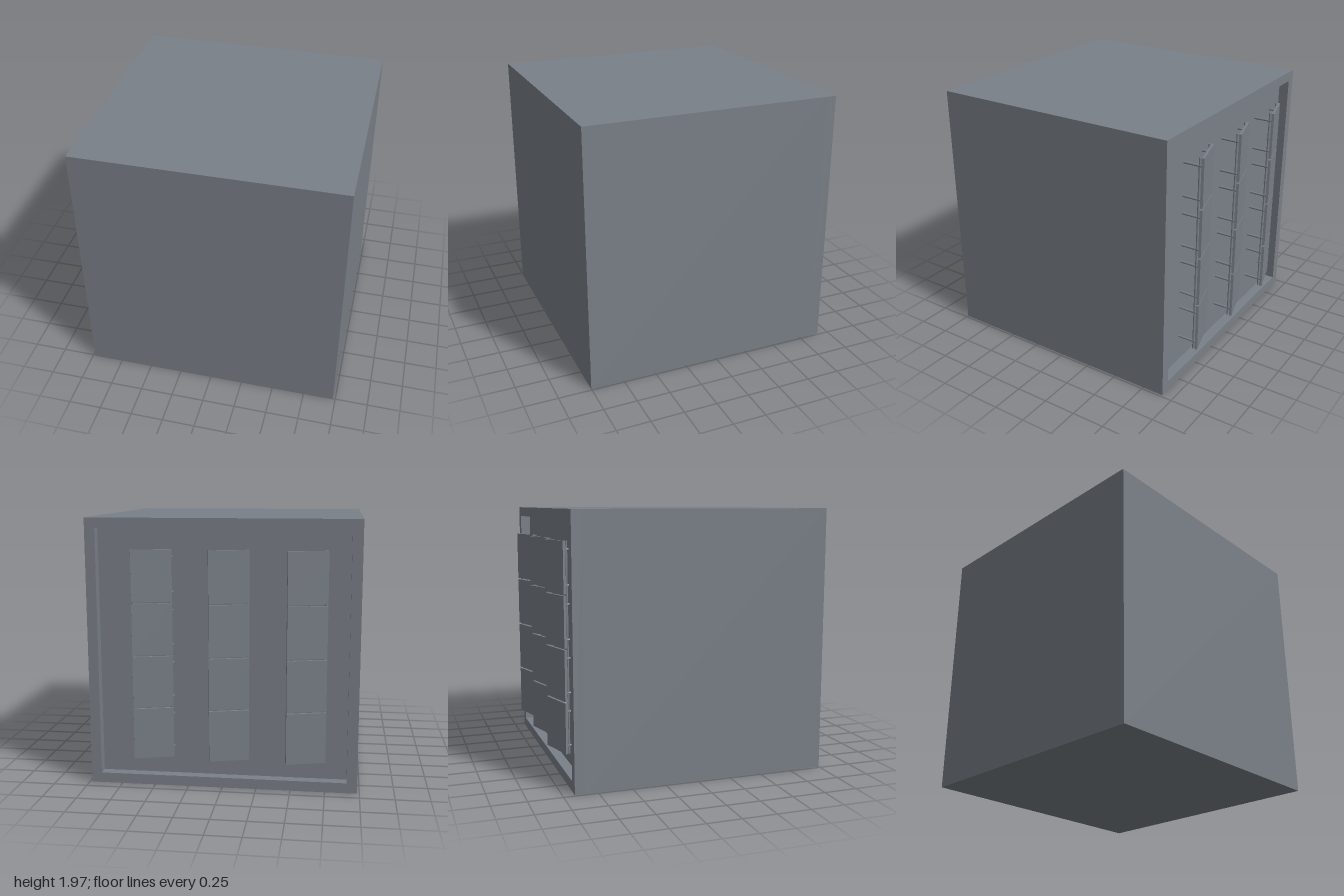
import * as THREE from 'three';

const HALF = 0.982, HEIGHT = 1.965, FRONT = 1, BACK = -0.917, FLOOR = -0.84, RIM = 0.075;
const material = new THREE.MeshStandardMaterial({ color: 0x7a8088 });

function add(parent, name, geometry, x, y, z) {
  const mesh = new THREE.Mesh(geometry, material);
  mesh.name = name;
  mesh.position.set(x, y, z);
  parent.add(mesh);
  return mesh;
}

function rect(path, x0, y0, x1, y1) {
  path.moveTo(x0, y0);
  path.lineTo(x1, y0);
  path.lineTo(x1, y1);
  path.lineTo(x0, y1);
  path.closePath();
  return path;
}

export function createModel() {
  const model = new THREE.Group();
  model.name = 'cabinet';

  // Solid body up to the floor of the rear recess
  const depth = FRONT - FLOOR;
  add(model, 'body', new THREE.BoxGeometry(2 * HALF, HEIGHT, depth), 0, HEIGHT / 2, FLOOR + depth / 2);

  // Rim standing around the recess
  const outline = rect(new THREE.Shape(), -HALF, 0, HALF, HEIGHT);
  outline.holes.push(rect(new THREE.Path(), -HALF + RIM, RIM, HALF - RIM, HEIGHT - RIM));
  const rim = new THREE.ExtrudeGeometry(outline, { depth: FLOOR - BACK, bevelEnabled: false });
  add(model, 'rearRim', rim, 0, 0, BACK);

  // Tilted panels: four per column, three columns
  const tilt = 0.27, width = 0.29, thick = 0.02, panelHeight = 0.372;
  const pitch = 0.3833, bottomRow = 0.411, rows = 4;
  const c = Math.cos(tilt), s = Math.sin(tilt);
  const panelX = -0.2 + c * width / 2 + s * thick / 2;
  const panelZ = -0.922 - s * width / 2 + c * thick / 2;
  const panel = new THREE.BoxGeometry(width, panelHeight, thick);

  // Upright rods behind the two long edges of each column
  const rodHeight = pitch * (rows - 1) + panelHeight;
  const rodY = bottomRow + pitch * (rows - 1) / 2;
  const rod = new THREE.CylinderGeometry(0.008, 0.008, rodHeight, 12);
  const supports = [
    { name: 'outer', x: 0.076, rodZ: -0.964, tip: -0.98 },
    { name: 'inner', x: -0.184, rodZ: -0.895, tip: -0.905 },
  ];

  for (const offset of [-0.552, 0, 0.552]) {
    const column = new THREE.Group();
    column.name = 'panelColumn';
    column.position.x = offset;
    model.add(column);

    for (let i = 0; i < rows; i++) {
      add(column, 'panel', panel, panelX, bottomRow + i * pitch, panelZ).rotation.y = tilt;
    }

    for (const { name, x, rodZ, tip } of supports) {
      add(column, name + 'Rod', rod, x, rodY, rodZ);
      // Pegs from the recess floor to the panels, two per panel
      const length = FLOOR - tip;
      const peg = new THREE.CylinderGeometry(0.009, 0.009, length, 12).rotateX(Math.PI / 2);
      for (let i = 0; i < rows; i++) {
        for (const dy of [-0.125, 0.125]) {
          add(column, name + 'Peg', peg, x, bottomRow + i * pitch + dy, FLOOR - length / 2);
        }
      }
    }
  }
  return model;
}
